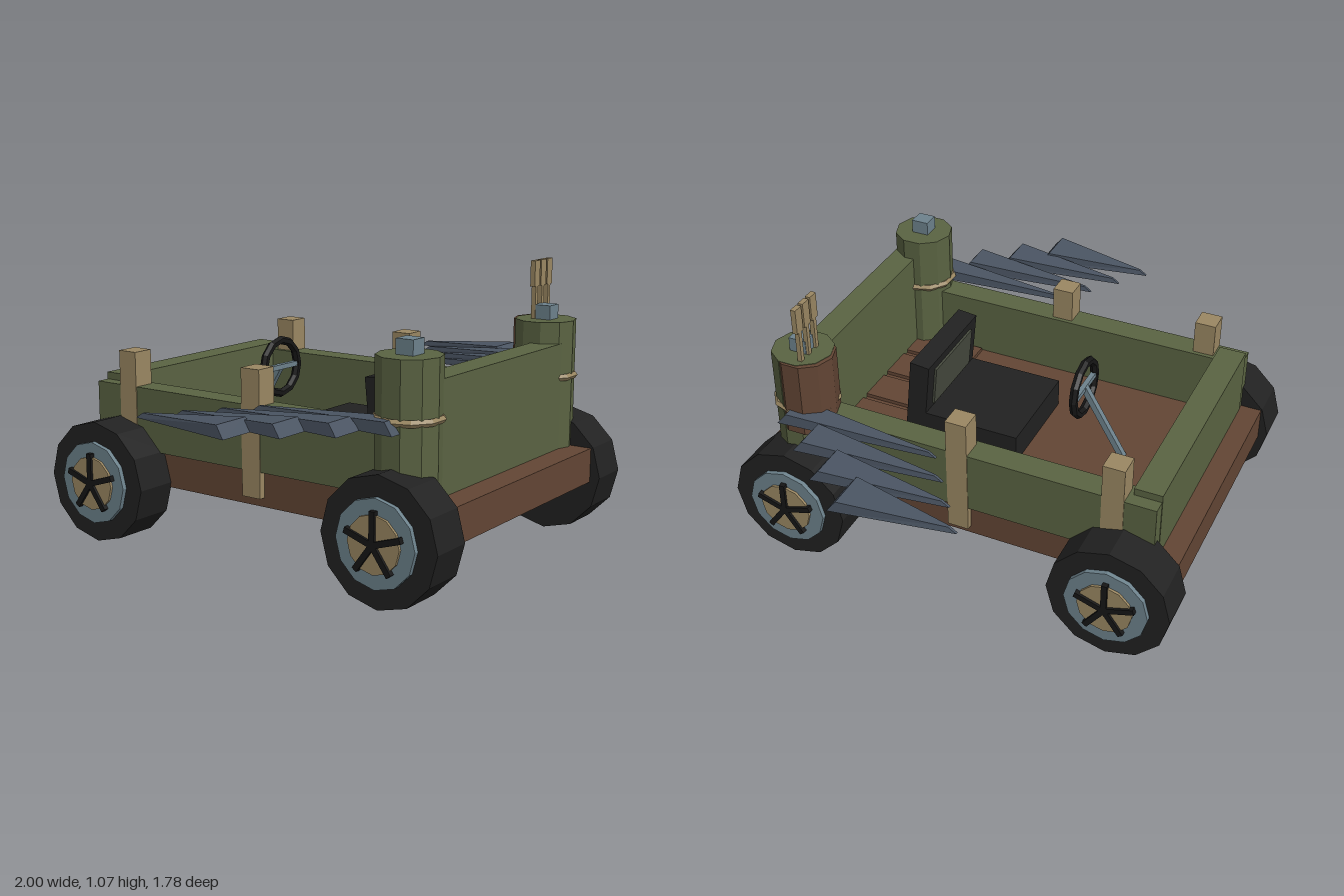
import * as THREE from 'three';

export function createModel() {
  const root = new THREE.Group();
  root.name = 'scrapBuggy';
  const mat = (name, color) => {
    const m = new THREE.MeshStandardMaterial({ color, flatShading: true });
    m.name = name;
    return m;
  };
  const green = mat('olive paint', 0x5a6342);
  const brown = mat('brown wood', 0x624534);
  const tan = mat('tan wood', 0x9a8762);
  const steel = mat('blue grey metal', 0x6d828c);
  const slate = mat('slate spikes', 0x4a5462);
  const rubber = mat('tyre rubber', 0x212121);
  const black = mat('black trim', 0x161616);
  const pad = mat('seat pad', 0x464a3e);

  const add = (name, geo, material, x, y, z, parent = root) => {
    const m = new THREE.Mesh(geo, material);
    m.name = name;
    m.position.set(x, y, z);
    parent.add(m);
    return m;
  };
  // box given by its min and max on each axis
  const box = (name, material, x0, x1, y0, y1, z0, z1, parent = root) =>
    add(name, new THREE.BoxGeometry(x1 - x0, y1 - y0, z1 - z0), material,
      (x0 + x1) / 2, (y0 + y1) / 2, (z0 + z1) / 2, parent);
  // cylinder lying along x
  const disc = (name, material, r, x0, x1, parent) => {
    const g = new THREE.CylinderGeometry(r, r, x1 - x0, 12).rotateZ(Math.PI / 2);
    return add(name, g, material, (x0 + x1) / 2, 0, 0, parent);
  };

  // Body tub
  box('chassis', brown, -0.51, 0.51, 0.22, 0.355, -0.855, 0.85);
  box('frontWall', green, -0.48, 0.48, 0.355, 0.768, 0.645, 0.75);
  box('rearWall', green, -0.48, 0.48, 0.355, 0.628, -0.772, -0.665);
  for (let i = -2; i <= 2; i++) {
    box('floorBoard', brown, i * 0.175 - 0.072, i * 0.175 + 0.072, 0.35, 0.37, 0.36, 0.65);
  }

  // Wheel: tyre, rim, hub plate and five spokes, facing +x or -x
  const wheel = (side, z) => {
    const w = new THREE.Group();
    w.name = 'wheel';
    w.position.set(side * 0.505, 0.24, z);
    disc('tyre', rubber, 0.236, 0, 0.17, w);
    disc('rim', steel, 0.16, 0.16, 0.188, w);
    disc('hubPlate', tan, 0.105, 0.18, 0.198, w);
    for (let k = 0; k < 5; k++) {
      const g = new THREE.BoxGeometry(0.026, 0.118, 0.022);
      g.translate(0, 0.059, 0).rotateX(k * Math.PI * 2 / 5);
      add('spoke', g, black, 0.195, 0, 0, w);
    }
    if (side < 0) w.rotation.y = Math.PI;
    root.add(w);
  };

  // Tapered blade pointing to -z: wide slanted base, narrow low tip
  const spike = (side, x, zBase, zTip, halfWidth) => {
    const g = new THREE.BoxGeometry(1, 1, 1);
    const p = g.attributes.position;
    for (let i = 0; i < p.count; i++) {
      const base = p.getZ(i) > 0, top = p.getY(i) > 0;
      const w = base ? halfWidth * (top ? 0.9 : 1) : 0.005;
      p.setXYZ(i, Math.sign(p.getX(i)) * w,
        top ? (base ? 0.645 : 0.62) : 0.6,
        base ? zBase - (top ? 0.035 : 0) : zTip + (top ? 0.03 : 0));
    }
    g.computeVertexNormals();
    add('spike', g, slate, side * x, 0, 0);
  };

  for (const s of [-1, 1]) {
    const cx = s * 0.482;
    const wall = s * 0.482;
    box('sideWall', green, wall - 0.05, wall + 0.05, 0.355, 0.6, -0.77, 0.66);
    for (const z of [0.655, -0.655]) wheel(s, z);
    for (const z of [0, -0.607]) {
      box('post', tan, s * 0.492 - 0.043, s * 0.492 + 0.043, 0.255, 0.735, z - 0.042, z + 0.042);
    }

    // Corner tower with cap block and rope
    add('tower', new THREE.CylinderGeometry(0.118, 0.118, 0.495, 10), green, cx, 0.6025, 0.65);
    box('towerCap', steel, cx - 0.034, cx + 0.034, 0.845, 0.905, 0.615, 0.685);
    const rope = new THREE.TorusGeometry(0.116, 0.014, 5, 10).rotateX(Math.PI / 2);
    add('towerRope', rope, tan, cx, 0.635, 0.65);

    // Row of spikes stepping outward
    for (let i = 0; i < 4; i++) {
      spike(s, 0.583 + i * 0.111, 0.687 - i * 0.14, 0.055 - i * 0.083, 0.06 + i * 0.0078);
    }
  }

  // Quiver with arrows on the left tower
  add('quiver', new THREE.CylinderGeometry(0.115, 0.115, 0.303, 10), brown, 0.495, 0.6965, 0.633);
  for (const x of [0.455, 0.505, 0.555]) {
    box('arrowShaft', tan, x - 0.009, x + 0.009, 0.8, 0.98, 0.604, 0.622);
    box('arrowFletching', tan, x - 0.02, x + 0.02, 0.975, 1.075, 0.603, 0.623);
  }

  // Seat with leaning backrest
  box('seatCushion', rubber, -0.208, 0.208, 0.355, 0.47, -0.09, 0.36);
  const back = new THREE.Group();
  back.name = 'backrest';
  back.position.set(0, 0.45, 0.34);
  back.rotation.x = -0.1;
  box('backrestFrame', rubber, -0.208, 0.208, -0.09, 0.24, -0.04, 0.04, back);
  box('backrestPad', pad, -0.155, 0.155, 0.04, 0.205, -0.049, -0.04, back);
  root.add(back);

  // Steering wheel and column
  add('steeringWheel', new THREE.TorusGeometry(0.108, 0.017, 6, 12), black, 0, 0.63, -0.28);
  box('steeringBar', steel, -0.1, 0.1, 0.62, 0.64, -0.29, -0.27);
  const foot = new THREE.Vector3(0, 0.35, -0.45), top = new THREE.Vector3(0, 0.635, -0.28);
  const column = add('steeringColumn', new THREE.BoxGeometry(0.024, 0.024, foot.distanceTo(top)), steel, 0, 0, 0);
  column.position.copy(foot).lerp(top, 0.5);
  column.lookAt(top);

  return root;
}
